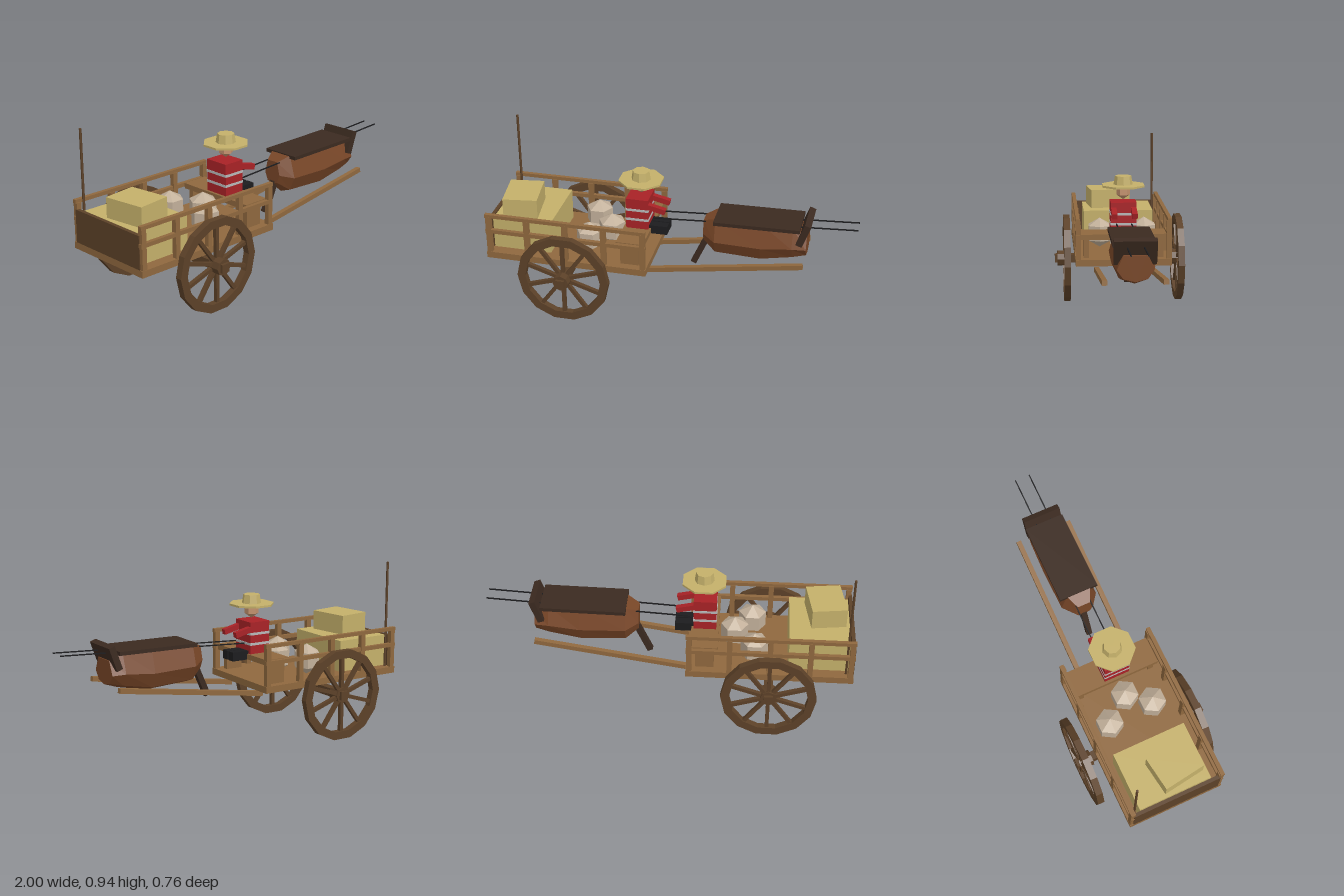
import * as THREE from 'three';

const mat = (color) => new THREE.MeshStandardMaterial({ color, flatShading: true, side: THREE.DoubleSide });
const M = {
  wood: mat(0x8f683e), darkWood: mat(0x5c4128), hull: mat(0x784627), dark: mat(0x3b2a20),
  straw: mat(0xc4b06a), red: mat(0xa82226), skin: mat(0xc4926e), sack: mat(0xc2b09a),
  black: mat(0x1c1c1e), stripe: mat(0xb8b8b8),
};

function add(parent, name, geo, material, x = 0, y = 0, z = 0) {
  const m = new THREE.Mesh(geo, material);
  m.name = name;
  m.position.set(x, y, z);
  parent.add(m);
  return m;
}

// Box given by its extents on each axis
function span(parent, name, material, [x0, x1], [y0, y1], [z0, z1]) {
  return add(parent, name, new THREE.BoxGeometry(x1 - x0, y1 - y0, z1 - z0), material,
    (x0 + x1) / 2, (y0 + y1) / 2, (z0 + z1) / 2);
}

// Slanted bar in the xy plane between two points
function bar(parent, name, material, [x0, y0], [x1, y1], thick, depth, z = 0) {
  const len = Math.hypot(x1 - x0, y1 - y0);
  const m = add(parent, name, new THREE.BoxGeometry(len, thick, depth), material, (x0 + x1) / 2, (y0 + y1) / 2, z);
  m.rotation.z = Math.atan2(y1 - y0, x1 - x0);
  return m;
}

function polygon(PathType, r, n) {
  const pts = [];
  for (let i = 0; i < n; i++) {
    const a = (i / n) * Math.PI * 2;
    pts.push(new THREE.Vector2(Math.cos(a) * r, Math.sin(a) * r));
  }
  return new PathType().setFromPoints(pts).closePath() && new PathType(pts);
}

// Wheel: faceted rim behind, spokes, and a hub sticking out toward +z
function makeWheel(z) {
  const g = new THREE.Group();
  g.name = 'wheel';
  g.position.set(-0.55, 0.2535, z);
  const rim = polygon(THREE.Shape, 0.257, 14);
  rim.holes.push(polygon(THREE.Path, 0.212, 14));
  add(g, 'rim', new THREE.ExtrudeGeometry(rim, { depth: 0.0375, bevelEnabled: false }), M.darkWood, 0, 0, -0.0375);
  add(g, 'hub', new THREE.CylinderGeometry(0.045, 0.045, 0.075, 8).rotateX(Math.PI / 2), M.darkWood);
  for (let i = 0; i < 10; i++) {
    const a = (i / 10) * Math.PI * 2 + Math.PI / 10;
    bar(g, 'spoke', M.darkWood, [Math.cos(a) * 0.03, Math.sin(a) * 0.03],
      [Math.cos(a) * 0.225, Math.sin(a) * 0.225], 0.02, 0.022, -0.019);
  }
  return g;
}

// Faceted body lofted along x from [x, bottom, top, halfWidth] stations
function makeBody() {
  const section = [[0, -1], [0.65, -0.78], [1, -0.1], [0.65, 1], [-0.65, 1], [-1, -0.1], [-0.65, -0.78]];
  const stations = [[0.17, 0.425, 0.56, 0.055], [0.24, 0.365, 0.59, 0.105], [0.49, 0.353, 0.592, 0.107],
    [0.66, 0.39, 0.585, 0.103], [0.735, 0.415, 0.55, 0.093]];
  const pos = [], idx = [], n = section.length;
  for (const [x, lo, hi, w] of stations)
    for (const [z, y] of section) pos.push(x, (lo + hi) / 2 + y * (hi - lo) / 2, z * w);
  for (let s = 0; s < stations.length - 1; s++)
    for (let i = 0; i < n; i++) {
      const a = s * n + i, b = s * n + (i + 1) % n;
      idx.push(a, b, a + n, b, b + n, a + n);
    }
  const last = (stations.length - 1) * n;
  for (let i = 1; i < n - 1; i++) idx.push(0, i + 1, i, last, last + i, last + i + 1);
  // Stations run along +x and the section runs from -y to +z, so flip to face outward
  for (let i = 0; i < idx.length; i += 3) [idx[i + 1], idx[i + 2]] = [idx[i + 2], idx[i + 1]];
  const g = new THREE.BufferGeometry();
  g.setAttribute('position', new THREE.Float32BufferAttribute(pos, 3));
  g.setIndex(idx);
  const flat = g.toNonIndexed();
  flat.computeVertexNormals();
  return flat;
}

function makeCart() {
  const g = new THREE.Group();
  g.name = 'cart';
  span(g, 'floor', M.wood, [-1, -0.1], [0.303, 0.34], [-0.27, 0.27]);
  span(g, 'tailBoard', M.darkWood, [-1, -0.98], [0.34, 0.52], [-0.25, 0.25]);
  span(g, 'axle', M.darkWood, [-0.574, -0.526], [0.23, 0.277], [-0.3825, 0.3825]);
  span(g, 'seat', M.wood, [-0.27, -0.12], [0.45, 0.48], [-0.24, 0.24]);
  for (const s of [-1, 1]) {
    for (let i = 0; i < 5; i++) add(g, 'post', new THREE.BoxGeometry(0.028, 0.215, 0.028), M.wood, -0.982 + i * 0.216, 0.447, s * 0.255);
    add(g, 'topRail', new THREE.BoxGeometry(0.9, 0.02, 0.022), M.wood, -0.55, 0.561, s * 0.257);
    add(g, 'middleRail', new THREE.BoxGeometry(0.9, 0.022, 0.022), M.wood, -0.55, 0.468, s * 0.257);
    add(g, 'seatLeg', new THREE.BoxGeometry(0.1, 0.11, 0.03), M.wood, -0.2, 0.395, s * 0.21);
    bar(g, 'shaft', M.wood, [-0.15, 0.275], [0.73, 0.412], 0.026, 0.027, s * 0.153);
    g.add(makeWheel(s * 0.33));
  }
  add(g, 'pole', new THREE.CylinderGeometry(0.007, 0.007, 0.605, 6), M.darkWood, -0.96, 0.6425, -0.231);
  return g;
}

function makeCargo() {
  const g = new THREE.Group();
  g.name = 'cargo';
  span(g, 'largeCrate', M.straw, [-0.975, -0.65], [0.34, 0.518], [-0.208, 0.205]);
  add(g, 'smallCrate', new THREE.BoxGeometry(0.19, 0.11, 0.235), M.straw, -0.845, 0.573, 0.052).rotation.y = 0.14;
  for (const [x, z] of [[-0.465, -0.14], [-0.355, 0], [-0.45, 0.12]])
    add(g, 'sack', new THREE.SphereGeometry(0.086, 6, 3), M.sack, x, 0.428, z);
  return g;
}

function makeDriver() {
  const g = new THREE.Group();
  g.name = 'driver';
  span(g, 'torso', M.red, [-0.255, -0.131], [0.478, 0.657], [-0.072, 0.072]);
  for (const y of [0.535, 0.592]) add(g, 'shirtStripe', new THREE.BoxGeometry(0.128, 0.014, 0.148), M.stripe, -0.193, y, 0);
  for (const s of [-1, 1]) {
    bar(g, 'arm', M.red, [-0.18, 0.628], [-0.038, 0.595], 0.03, 0.03, s * 0.056);
    span(g, 'leg', M.black, [-0.15, -0.03], [0.448, 0.497], s < 0 ? [-0.052, -0.004] : [0.004, 0.052]);
  }
  const chin = [[0, 0.668], [0.038, 0.695], [0.038, 0.745], [0, 0.745]].map(([r, y]) => new THREE.Vector2(r, y));
  add(g, 'head', new THREE.LatheGeometry(chin, 6), M.skin, -0.185, 0, 0);
  add(g, 'hatBrim', new THREE.CylinderGeometry(0.125, 0.125, 0.011, 8).rotateY(Math.PI / 8), M.straw, -0.185, 0.747, 0);
  add(g, 'hatCrown', new THREE.CylinderGeometry(0.046, 0.054, 0.05, 8), M.straw, -0.185, 0.776, 0);
  return g;
}

// Draught body with its back cover, upright collar board, tail and reins
function makeDraughtBody() {
  const g = new THREE.Group();
  g.name = 'draughtBody';
  add(g, 'body', makeBody(), M.hull);
  bar(g, 'backCover', M.dark, [0.235, 0.584], [0.7, 0.592], 0.02, 0.222);
  bar(g, 'collarBoard', M.dark, [0.697, 0.505], [0.742, 0.63], 0.035, 0.214);
  bar(g, 'tail', M.dark, [0.185, 0.44], [0.11, 0.272], 0.032, 0.032);
  for (const s of [-1, 1]) bar(g, 'rein', M.black, [-0.11, 0.54], [1, 0.605], 0.006, 0.006, s * 0.042);
  return g;
}

export function createModel() {
  const model = new THREE.Group();
  model.name = 'cartWithDriver';
  model.add(makeCart(), makeCargo(), makeDriver(), makeDraughtBody());
  return model;
}
